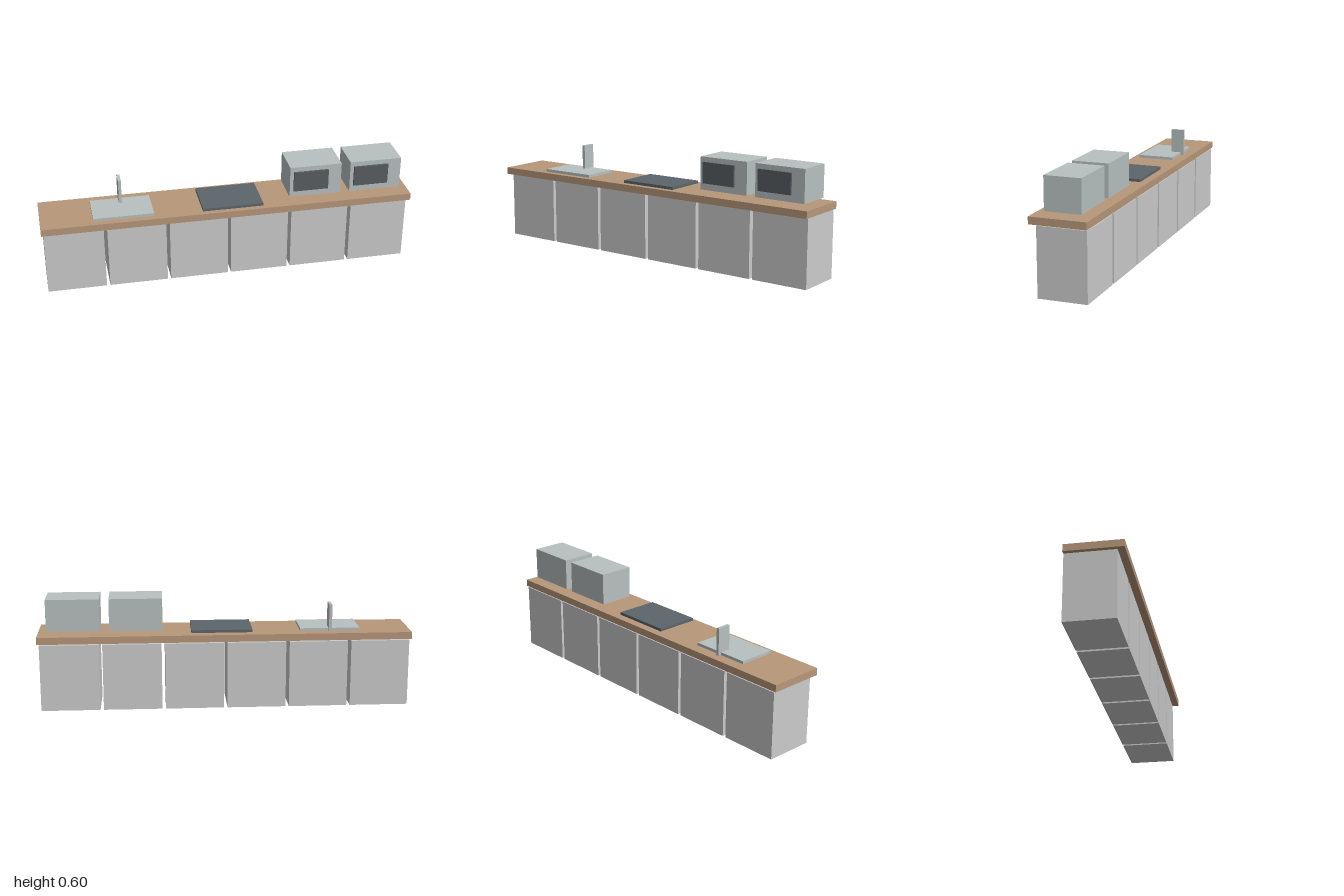
import * as THREE from 'three';

const material = (color) => new THREE.MeshStandardMaterial({ color });

// Box given by its extents along x, y and z
function box(name, mat, [x0, x1], [y0, y1], [z0, z1]) {
  const mesh = new THREE.Mesh(new THREE.BoxGeometry(x1 - x0, y1 - y0, z1 - z0), mat);
  mesh.position.set((x0 + x1) / 2, (y0 + y1) / 2, (z0 + z1) / 2);
  mesh.name = name;
  return mesh;
}

export function createModel() {
  const group = new THREE.Group();
  group.name = 'kitchenCounter';
  const grey = material(0xcccccc);
  const wood = material(0xb8977a);
  const steel = material(0xb8c0c0);
  const dark = material(0x5c666b);
  const glass = material(0x595e61);

  // Row of six base cabinets with narrow gaps
  const pitch = 1 / 3, halfWidth = 0.157;
  for (let i = 0; i < 6; i++) {
    const x = (i - 2.5) * pitch * 0.997;
    group.add(box(`cabinet${i + 1}`, grey, [x - halfWidth, x + halfWidth], [0, 0.36], [-0.146, 0.113]));
  }

  // Worktop
  group.add(box('worktop', wood, [-1, 1], [0.366, 0.404], [-0.149, 0.149]));

  // Sink slab and upright tap
  group.add(box('sink', steel, [-0.725, -0.404], [0.404, 0.419], [-0.088, 0.112]));
  group.add(box('tap', steel, [-0.573, -0.557], [0.404, 0.552], [-0.106, -0.031]));

  // Cooktop
  group.add(box('cooktop', dark, [-0.145, 0.182], [0.407, 0.422], [-0.108, 0.125]));

  // Two ovens, each with a raised window towards its right side
  [0.335, 0.668].forEach((x, i) => {
    const oven = new THREE.Group();
    oven.name = `oven${i + 1}`;
    oven.add(box('ovenBody', steel, [x, x + 0.283], [0.423, 0.597], [-0.104, 0.088]));
    oven.add(box('ovenWindow', glass, [x + 0.02, x + 0.21], [0.459, 0.571], [0.08, 0.099]));
    group.add(oven);
  });

  return group;
}
